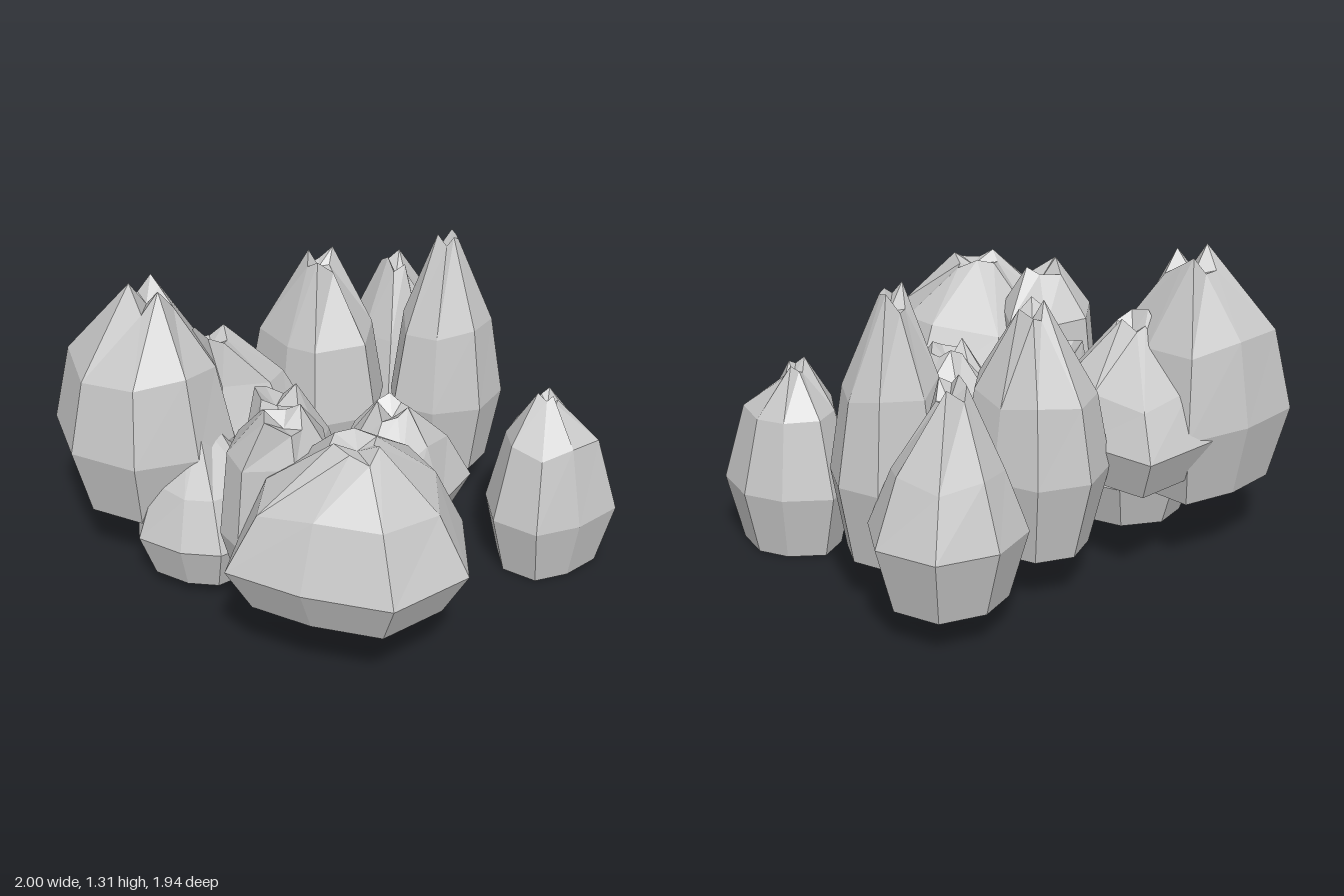
import * as THREE from 'three';

const stone = new THREE.MeshStandardMaterial({ color: 0xc8c8c8, flatShading: true });
stone.name = 'grey stone';

// Small seeded generator for the jagged crowns
let seed = 7;
const rand = () => (seed = (seed * 16807) % 2147483647) / 2147483647;

// One faceted rock: outline = widest ring [x, z], heights = base, widest, shoulder, tip,
// base and shoulder = ring scales, crown = [x, z, radius, roughness] of the jagged top
function rock(name, outline, heights, base, shoulder, crown) {
  const [y0, y1, y2, y3] = heights;
  const [tx, tz, tr, rough] = crown;
  const n = outline.length;
  const cx = outline.reduce((s, p) => s + p[0], 0) / n;
  const cz = outline.reduce((s, p) => s + p[1], 0) / n;
  const ring = outline.slice().sort((a, b) =>
    Math.atan2(a[1] - cz, a[0] - cx) - Math.atan2(b[1] - cz, b[0] - cx));

  const scaled = (k, y, ox, oz) => ring.map(([x, z]) => [ox + (x - ox) * k, y, oz + (z - oz) * k]);
  const mx = (cx + tx) / 2, mz = (cz + tz) / 2;
  const rings = [
    scaled(base, y0, cx, cz),
    scaled(1, y1, cx, cz),
    scaled(shoulder, y2, mx, mz).map(([x, y, z]) => [x, y + (rand() - 0.5) * 0.06, z]),
    // Crown points sit at uneven heights and radii, making peaks and folds
    ring.map(([x, z], i) => {
      const d = Math.hypot(x - cx, z - cz), r = tr * (0.6 + 0.7 * rand());
      const drop = i === 0 ? 0 : rough * (i % 3 === 0 ? 0.2 : 0.3 + 0.7 * rand());
      return [tx + (x - cx) / d * r, y3 - drop, tz + (z - cz) / d * r];
    }),
  ];

  const pos = [];
  const tri = (...pts) => pts.forEach((p) => pos.push(...p));
  const under = [cx, y0, cz], pit = [tx, y3 - rough, tz];
  for (let i = 0; i < n; i++) {
    const j = (i + 1) % n;
    for (let k = 0; k < 3; k++) {
      const a = rings[k], b = rings[k + 1];
      tri(a[j], a[i], b[i]);
      tri(a[j], b[i], b[j]);
    }
    tri(under, rings[0][i], rings[0][j]);
    tri(pit, rings[3][j], rings[3][i]);
  }
  const geo = new THREE.BufferGeometry();
  geo.setAttribute('position', new THREE.Float32BufferAttribute(pos, 3));
  geo.computeVertexNormals();
  const mesh = new THREE.Mesh(geo, stone);
  mesh.name = name;
  return mesh;
}

export function createModel() {
  const group = new THREE.Group();
  group.name = 'rockCluster';
  group.add(
    // Front rocks
    rock('broadFrontRock',
      [[-1, 0.31], [-0.81, 0.17], [-0.55, 0.06], [-0.24, 0.08], [-0.04, 0.43], [-0.09, 0.69], [-0.34, 0.97], [-0.7, 0.93], [-0.89, 0.62]],
      [0.35, 0.55, 0.81, 1.06], 0.79, 0.74, [-0.52, 0.54, 0.1, 0.06]),
    rock('smallFrontRightRock',
      [[-0.82, 0.17], [-0.8, 0.04], [-0.62, -0.09], [-0.38, -0.03], [-0.31, 0.16], [-0.44, 0.34], [-0.67, 0.37]],
      [0.23, 0.5, 0.85, 1.08], 0.73, 0.84, [-0.6, 0.21, 0.09, 0.1]),
    rock('middleRock',
      [[-0.27, 0.1], [-0.16, -0.02], [-0.04, -0.08], [0.14, -0.03], [0.28, 0.13], [0.28, 0.38], [0.04, 0.45], [-0.15, 0.44], [-0.26, 0.28]],
      [0.275, 0.45, 0.67, 0.86], 0.72, 0.7, [0, 0.19, 0.08, 0.1]),
    rock('lowFrontLeftRock',
      [[0.28, 0.52], [0.4, 0.36], [0.58, 0.29], [0.74, 0.43], [0.8, 0.6], [0.73, 0.81], [0.51, 0.8], [0.33, 0.72]],
      [0, 0.28, 0.6, 0.83], 0.76, 0.7, [0.55, 0.55, 0.05, 0.08]),
    // Left rocks
    rock('tallLeftRock',
      [[0.32, -0.13], [0.42, -0.25], [0.6, -0.33], [0.83, -0.25], [0.87, -0.07], [0.76, 0.1], [0.57, 0.15], [0.39, 0.04]],
      [0.2, 0.54, 0.9, 1.31], 0.76, 0.78, [0.6, -0.09, 0.05, 0.11]),
    rock('backLeftRock',
      [[0.39, -0.49], [0.47, -0.71], [0.7, -0.77], [0.94, -0.67], [1, -0.41], [0.85, -0.21], [0.62, -0.19], [0.43, -0.28]],
      [0.15, 0.43, 0.68, 1.04], 0.76, 0.7, [0.65, -0.46, 0.07, 0.1]),
    rock('tallBackRock',
      [[-0.09, -0.4], [-0.04, -0.68], [0.17, -0.76], [0.37, -0.66], [0.42, -0.47], [0.4, -0.28], [0.2, -0.12], [-0.05, -0.23]],
      [0.2, 0.54, 0.86, 1.23], 0.74, 0.82, [0.18, -0.45, 0.07, 0.08]),
    // Back right rocks
    rock('largeBackRightRock',
      [[-1, -0.67], [-0.87, -0.96], [-0.56, -0.97], [-0.27, -0.89], [-0.28, -0.6], [-0.42, -0.32], [-0.65, -0.27], [-0.89, -0.39]],
      [0.31, 0.62, 0.95, 1.31], 0.8, 0.81, [-0.6, -0.63, 0.09, 0.12]),
    rock('backInnerRock',
      [[-0.39, -0.92], [-0.02, -0.9], [0, -0.55], [-0.03, -0.3], [-0.2, -0.22], [-0.45, -0.35], [-0.5, -0.7]],
      [0.43, 0.6, 0.79, 1.06], 0.8, 0.72, [-0.38, -0.5, 0.07, 0.1]),
    rock('innerRock',
      [[0, -0.1], [-0.05, -0.27], [-0.25, -0.36], [-0.46, -0.3], [-0.56, -0.1], [-0.42, 0.05], [-0.18, 0.04]],
      [0.14, 0.36, 0.62, 0.87], 0.77, 0.75, [-0.3, -0.19, 0.08, 0.1]),
    rock('lowRightRock',
      [[-0.87, -0.42], [-0.81, -0.22], [-0.7, -0.09], [-0.42, -0.05], [-0.29, -0.25], [-0.35, -0.48], [-0.55, -0.61], [-0.76, -0.57]],
      [0.065, 0.26, 0.5, 0.75], 0.77, 0.7, [-0.58, -0.38, 0.08, 0.08]),
  );
  return group;
}
